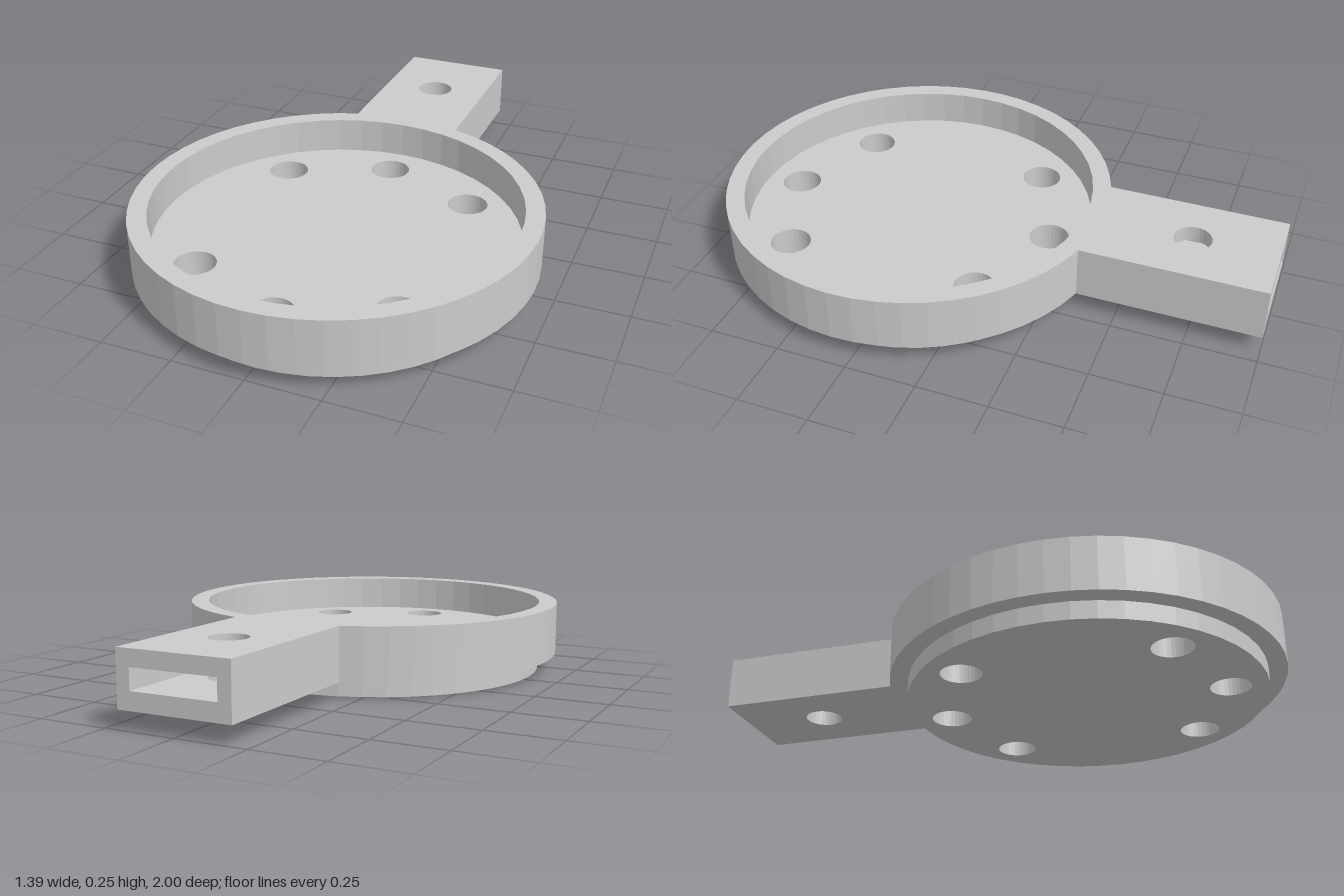
import * as THREE from 'three';
import { mergeGeometries } from 'three/addons/utils/BufferGeometryUtils.js';

// Plan coordinates are (x, v) with v = -z
const CV = -0.305, R_OUT = 0.695, R_IN = 0.63;
const ARM = 0.2, END = 1, SLOT = 0.153, SLOT_END = 0.4;
const Y_STEP = 0.0625, Y_FLOOR = 0.123, Y_SLOT = 0.194, Y_TOP = 0.25;

const P = (x, v) => new THREE.Vector2(x, v);

function arc(x, v, r, n, from = 0, to = Math.PI * 2) {
  return Array.from({ length: n + 1 }, (_, i) => {
    const a = from + (to - from) * i / n;
    return P(x + r * Math.cos(a), v + r * Math.sin(a));
  });
}

function flatShape(points, holes) {
  const shape = new THREE.Shape(points);
  holes.forEach(h => shape.holes.push(new THREE.Path(h)));
  return new THREE.ShapeGeometry(shape);
}

// Horizontal face at height y, facing up or down
function cap(points, holes, y, up) {
  const g = flatShape(points, holes);
  if (!up) g.index.array.reverse();
  return g.rotateX(-Math.PI / 2).translate(0, y, 0);
}

// Vertical wall along a path; a counter-clockwise path faces outward
function wall(points, y0, y1, inward = false) {
  const pts = inward ? [...points].reverse() : points;
  const pos = [];
  for (let i = 0; i < pts.length - 1; i++) {
    const a = pts[i], b = pts[i + 1];
    pos.push(a.x, y0, -a.y, b.x, y0, -b.y, b.x, y1, -b.y);
    pos.push(a.x, y0, -a.y, b.x, y1, -b.y, a.x, y1, -a.y);
  }
  return new THREE.BufferGeometry().setAttribute('position', new THREE.Float32BufferAttribute(pos, 3));
}

export function createModel() {
  const group = new THREE.Group();
  const material = new THREE.MeshStandardMaterial({ color: 0xcccccc, flatShading: true });

  function add(name, parts) {
    const clean = parts.map(p => {
      const g = p.index ? p.toNonIndexed() : p;
      g.deleteAttribute('uv');
      g.deleteAttribute('normal');
      return g;
    });
    const geometry = mergeGeometries(clean);
    geometry.computeVertexNormals();
    const mesh = new THREE.Mesh(geometry, material);
    mesh.name = name;
    group.add(mesh);
  }

  const inner = arc(0, CV, R_IN, 48);
  const floorHoles = [-1, 1].flatMap(s => [
    arc(0, CV + s * 0.5, 0.071, 32),
    arc(-0.352, CV + s * 0.352, 0.071, 32),
    arc(0.352, CV + s * 0.352, 0.071, 32),
  ]);
  const armHole = arc(0, 0.705, 0.066, 32);

  // Round body joined to the straight arm
  const t = Math.asin(ARM / R_OUT);
  const outline = [
    P(-ARM, END),
    ...arc(0, CV, R_OUT, 48, Math.PI / 2 + t, Math.PI * 2.5 - t),
    P(ARM, END),
  ];

  // Dish floor with its six through holes and the step below
  add('dishFloor', [
    cap(inner, floorHoles, 0, false),
    cap(inner, floorHoles, Y_FLOOR, true),
    ...floorHoles.map(h => wall(h, 0, Y_FLOOR, true)),
  ]);
  add('bottomStep', [wall(inner, 0, Y_STEP)]);

  // Outer shell: underside, sides, top rim and inner wall
  add('rimAndArmShell', [
    cap(outline, [inner, armHole], Y_STEP, false),
    wall(outline, Y_STEP, Y_TOP),
    cap(outline, [inner, armHole], Y_TOP, true),
    wall(inner, Y_FLOOR, Y_TOP, true),
  ]);

  // Arm end face around the slot opening, facing -z
  const rect = (w, y0, y1) => [P(-w, y0), P(w, y0), P(w, y1), P(-w, y1)];
  add('armEnd', [
    flatShape(rect(ARM, Y_STEP, Y_TOP), [rect(SLOT, Y_FLOOR, Y_SLOT)])
      .rotateY(Math.PI).translate(0, 0, -END),
  ]);

  // Blind slot in the arm, crossed by the vertical hole
  const slot = [P(-SLOT, END), P(-SLOT, SLOT_END), P(SLOT, SLOT_END), P(SLOT, END)];
  add('armSlot', [
    cap(slot, [armHole], Y_FLOOR, true),
    cap(slot, [armHole], Y_SLOT, false),
    wall(slot, Y_FLOOR, Y_SLOT, true),
  ]);
  add('armHole', [
    wall(armHole, Y_STEP, Y_FLOOR, true),
    wall(armHole, Y_SLOT, Y_TOP, true),
  ]);

  return group;
}
